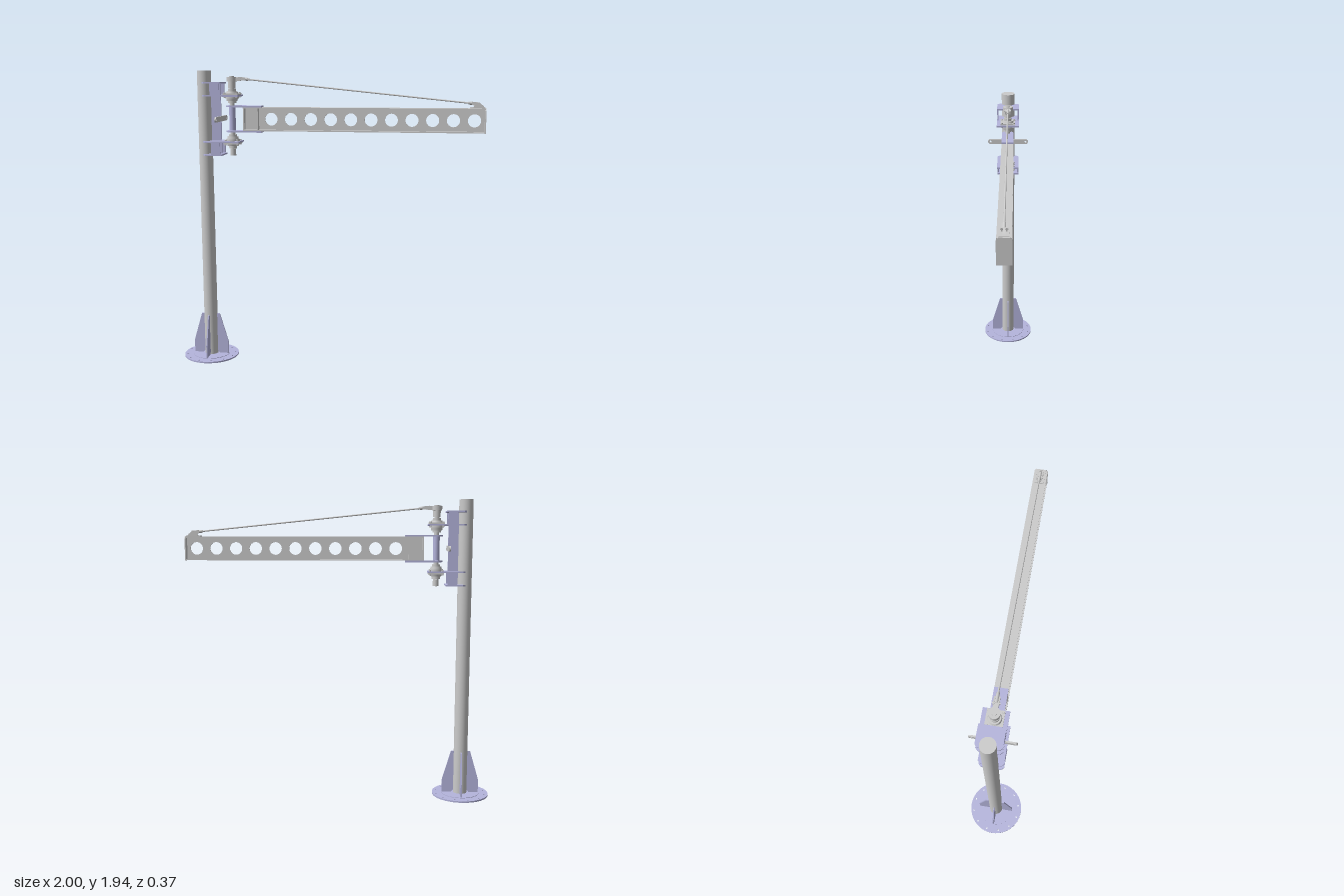
import * as THREE from 'three';

const grey = new THREE.MeshStandardMaterial({ color: 0xcccccc });
const lilac = new THREE.MeshStandardMaterial({ color: 0xb4b4dc });
const POST = -0.815, PIVOT = -0.63;

export function createModel() {
  const root = new THREE.Group();

  const add = (name, geo, mat, x = 0, y = 0, z = 0, parent = root) => {
    const m = new THREE.Mesh(geo, mat);
    m.name = name;
    m.position.set(x, y, z);
    parent.add(m);
    return m;
  };
  // box given by its x, y and z ranges
  const box = (name, mat, [x0, x1], [y0, y1], [z0, z1], parent) =>
    add(name, new THREE.BoxGeometry(x1 - x0, y1 - y0, z1 - z0), mat,
      (x0 + x1) / 2, (y0 + y1) / 2, (z0 + z1) / 2, parent);
  // upright cylinder from y0 to y1
  const cyl = (name, mat, r, y0, y1, x, z = 0, sides = 32, rTop = r, parent = root) =>
    add(name, new THREE.CylinderGeometry(rTop, r, y1 - y0, sides), mat, x, (y0 + y1) / 2, z, parent);
  const extrude = (shape, depth) => {
    const g = new THREE.ExtrudeGeometry(shape, { depth, bevelEnabled: false, curveSegments: 20 });
    return g.translate(0, 0, -depth / 2);
  };
  const hole = (x, y, r) => new THREE.Path().absarc(x, y, r, 0, Math.PI * 2, true);
  const poly = pts => new THREE.Shape(pts.map(p => new THREE.Vector2(...p)));
  // cylinder between two points
  const rod = (name, mat, a, b, r, sides = 16) => {
    const d = b.clone().sub(a);
    const m = add(name, new THREE.CylinderGeometry(r, r, d.length(), sides), mat);
    m.position.copy(a).add(b).multiplyScalar(0.5);
    m.quaternion.setFromUnitVectors(new THREE.Vector3(0, 1, 0), d.normalize());
    return m;
  };

  // base plate with a ring of bolt holes
  const disc = new THREE.Shape().absarc(0, 0, 0.185, 0, Math.PI * 2);
  for (let i = 0; i < 12; i++) {
    const a = (i + 0.5) * Math.PI / 6;
    disc.holes.push(hole(0.163 * Math.cos(a), 0.163 * Math.sin(a), 0.006));
  }
  add('basePlate', extrude(disc, 0.01).rotateX(-Math.PI / 2), lilac, POST, 0.005);
  cyl('baseRing', lilac, 0.125, 0.01, 0.013, POST, 0, 40);

  // post and its four gussets
  cyl('post', grey, 0.045, 0.01, 1.94, POST, 0, 40);
  const gusset = extrude(poly([[0.06, 0.012], [0.12, 0.012], [0.12, 0.1], [0.063, 0.295], [0.043, 0.295], [0.043, 0.03]]), 0.008);
  for (let i = 0; i < 4; i++) add('gusset', gusset, lilac, POST).rotation.y = i * Math.PI / 2;

  // post bracket: web, horizontal plates wrapped round the post, side cheeks
  box('bracketWeb', lilac, [-0.772, -0.705], [1.395, 1.865], [-0.005, 0.005]);
  const plate = (name, y, x1) => {
    const s = poly([[-0.8, -0.075], [x1, -0.075], [x1, 0.075], [-0.8, 0.075], [-0.815, 0.06], [-0.815, -0.06]]);
    add(name, extrude(s, 0.01).rotateX(-Math.PI / 2), lilac, 0, y);
  };
  plate('bracketTopPlate', 1.863, -0.69);
  plate('bracketBottomPlate', 1.397, -0.69);
  plate('upperBearingPlate', 1.78, -0.575);
  plate('lowerBearingPlate', 1.482, -0.575);
  for (const z of [-0.07, 0.07]) {
    box('upperCheek', lilac, [-0.76, -0.7], [1.78, 1.863], [z - 0.004, z + 0.004]);
    box('lowerCheek', lilac, [-0.76, -0.7], [1.397, 1.482], [z - 0.004, z + 0.004]);
  }

  // cross bar with rounded, drilled ends
  const bar = new THREE.Shape();
  bar.absarc(0.122, 0, 0.017, -Math.PI / 2, Math.PI / 2);
  bar.absarc(-0.122, 0, 0.017, Math.PI / 2, Math.PI * 1.5);
  bar.holes.push(hole(0.122, 0, 0.007), hole(-0.122, 0, 0.007));
  add('crossBar', extrude(bar, 0.01).rotateY(Math.PI / 2), grey, -0.708, 1.63);

  // pivot shaft
  cyl('pivotShaft', grey, 0.016, 1.39, 1.88, PIVOT);
  cyl('pivotSleeve', lilac, 0.021, 1.552, 1.71, PIVOT);
  cyl('shaftEnd', grey, 0.019, 1.39, 1.435, PIVOT);

  // flanged bearings, mirrored above and below
  for (const [y, dir] of [[1.78, 1], [1.482, -1]]) {
    const b = new THREE.Group();
    b.name = 'bearing';
    b.position.set(PIVOT, y, 0);
    b.rotation.x = dir < 0 ? Math.PI : 0;
    root.add(b);
    box('bearingFlange', grey, [-0.05, 0.05], [0.005, 0.015], [-0.05, 0.05], b);
    cyl('bearingHousing', grey, 0.04, 0.015, 0.028, 0, 0, 32, 0.036, b);
    cyl('bearingCollar', grey, 0.026, 0.028, 0.045, 0, 0, 32, 0.026, b);
    cyl('thrustWasher', grey, 0.045, -0.017, -0.005, 0, 0, 32, 0.045, b);
    cyl('thrustRing', grey, 0.035, -0.034, -0.017, 0, 0, 32, 0.038, b);
    cyl('thrustCollar', grey, 0.027, -0.048, -0.034, 0, 0, 32, 0.027, b);
    for (const x of [-0.04, 0.04]) for (const z of [-0.04, 0.04])
      cyl('bearingBolt', grey, 0.007, -0.014, 0.022, x, z, 6, 0.007, b);
  }

  // arm mounting plates gripping the sleeve
  for (const y of [1.712, 1.549]) {
    const s = new THREE.Shape().moveTo(-0.43, -0.04).lineTo(-0.43, 0.04).lineTo(PIVOT, 0.04);
    s.absarc(PIVOT, 0, 0.04, Math.PI / 2, Math.PI * 1.5);
    add('armMountPlate', extrude(s, 0.01).rotateX(-Math.PI / 2), lilac, 0, y);
  }

  // arm: I-beam with round holes through the web
  const web = poly([[-0.55, 1.56], [0.995, 1.56], [0.995, 1.7], [-0.55, 1.7]]);
  for (let i = 0; i < 11; i++) web.holes.push(hole(-0.37 + i * 0.13, 1.63, 0.041));
  add('armWeb', extrude(web, 0.007), grey);
  box('armTopFlange', grey, [-0.55, 0.995], [1.699, 1.707], [-0.04, 0.04]);
  box('armBottomFlange', grey, [-0.55, 0.995], [1.554, 1.562], [-0.04, 0.04]);
  for (const x of [-0.546, -0.455])
    box('armStiffener', grey, [x - 0.004, x + 0.004], [1.56, 1.7], [-0.039, 0.039]);
  const cap = poly([[-0.042, 1.553], [0.042, 1.553], [0.042, 1.695], [0.03, 1.71], [-0.03, 1.71], [-0.042, 1.695]]);
  add('armEndPlate', extrude(cap, 0.007).rotateY(Math.PI / 2), grey, 0.9965);

  // tie rod head on top of the shaft
  cyl('tieHead', grey, 0.033, 1.872, 1.9, PIVOT);
  cyl('tieHeadCollar', grey, 0.024, 1.83, 1.872, PIVOT);
  cyl('tieHeadCap', grey, 0.015, 1.9, 1.905, PIVOT);
  box('tieHeadLug', grey, [-0.63, -0.57], [1.874, 1.898], [-0.014, 0.014]);

  // tie rod with fork ends
  const at = t => new THREE.Vector3(-0.575 + t * 1.525, 1.89 - t * 0.155, 0);
  rod('tieRod', grey, at(0.02), at(0.98), 0.005);
  for (const [t0, t1, s] of [[0, 0.035, 1], [1, 0.965, -1]]) {
    rod('forkSocket', grey, at(t0), at(t1), 0.01);
    rod('lockNut', grey, at(t1), at(t1 + s * 0.006), 0.009, 6);
    const p = at(t0 + s * 0.01);
    for (const z of [-0.013, 0.013])
      box('forkCheek', grey, [p.x - 0.025, p.x + 0.022], [p.y - 0.01, p.y + 0.01], [z - 0.004, z + 0.004])
        .rotation.z = -0.1;
    rod('forkPin', grey, new THREE.Vector3(p.x - s * 0.012, p.y, -0.022), new THREE.Vector3(p.x - s * 0.012, p.y, 0.022), 0.006);
  }

  // anchor on the arm tip
  box('anchorPlate', grey, [0.9, 0.992], [1.707, 1.714], [-0.028, 0.028]);
  const lug = poly([[0.92, 1.714], [0.99, 1.714], [0.98, 1.725], [0.958, 1.743], [0.935, 1.743]]);
  add('anchorLug', extrude(lug, 0.014), grey);

  return root;
}
